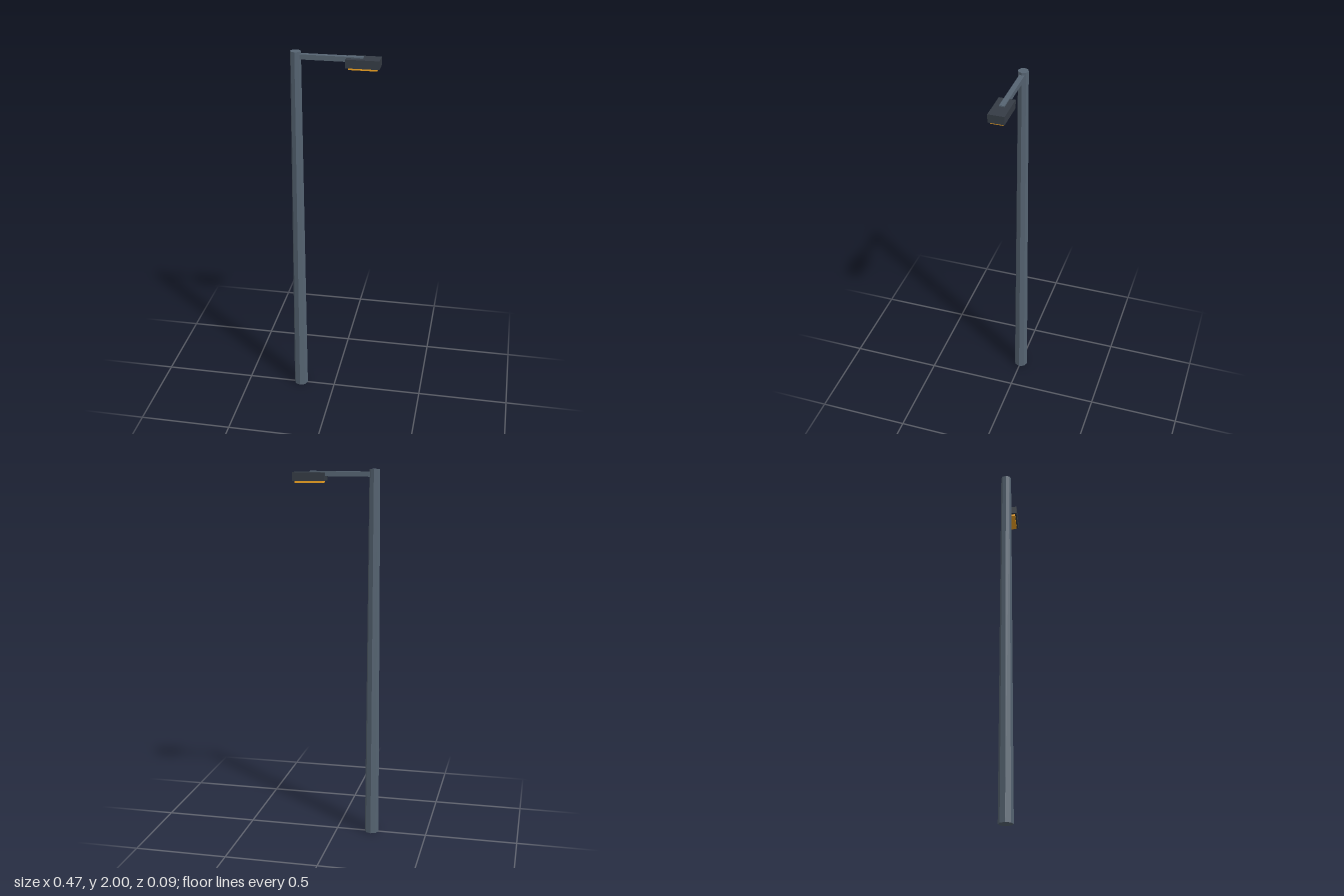
import * as THREE from 'three';

export function createModel() {
  const group = new THREE.Group();
  const material = (color) => new THREE.MeshStandardMaterial({ color, flatShading: true });
  const steel = material(0x566472);
  const dark = material(0x353c45);
  const amber = material(0xf5a623);

  const add = (name, geometry, mat, x, y) => {
    const mesh = new THREE.Mesh(geometry, mat);
    mesh.name = name;
    mesh.position.set(x, y, 0);
    group.add(mesh);
  };

  // Tapered octagonal pole
  add('pole', new THREE.CylinderGeometry(0.028, 0.039, 2, 8), steel, -0.196, 1);

  // Horizontal arm, running from the pole into the top of the lamp head
  add('arm', new THREE.BoxGeometry(0.344, 0.026, 0.027), steel, -0.024, 1.974);

  // Lamp housing with a thin glowing panel underneath
  add('lampHead', new THREE.BoxGeometry(0.171, 0.044, 0.085), dark, 0.149, 1.959);
  add('lampPanel', new THREE.BoxGeometry(0.147, 0.012, 0.066), amber, 0.149, 1.932);

  return group;
}
